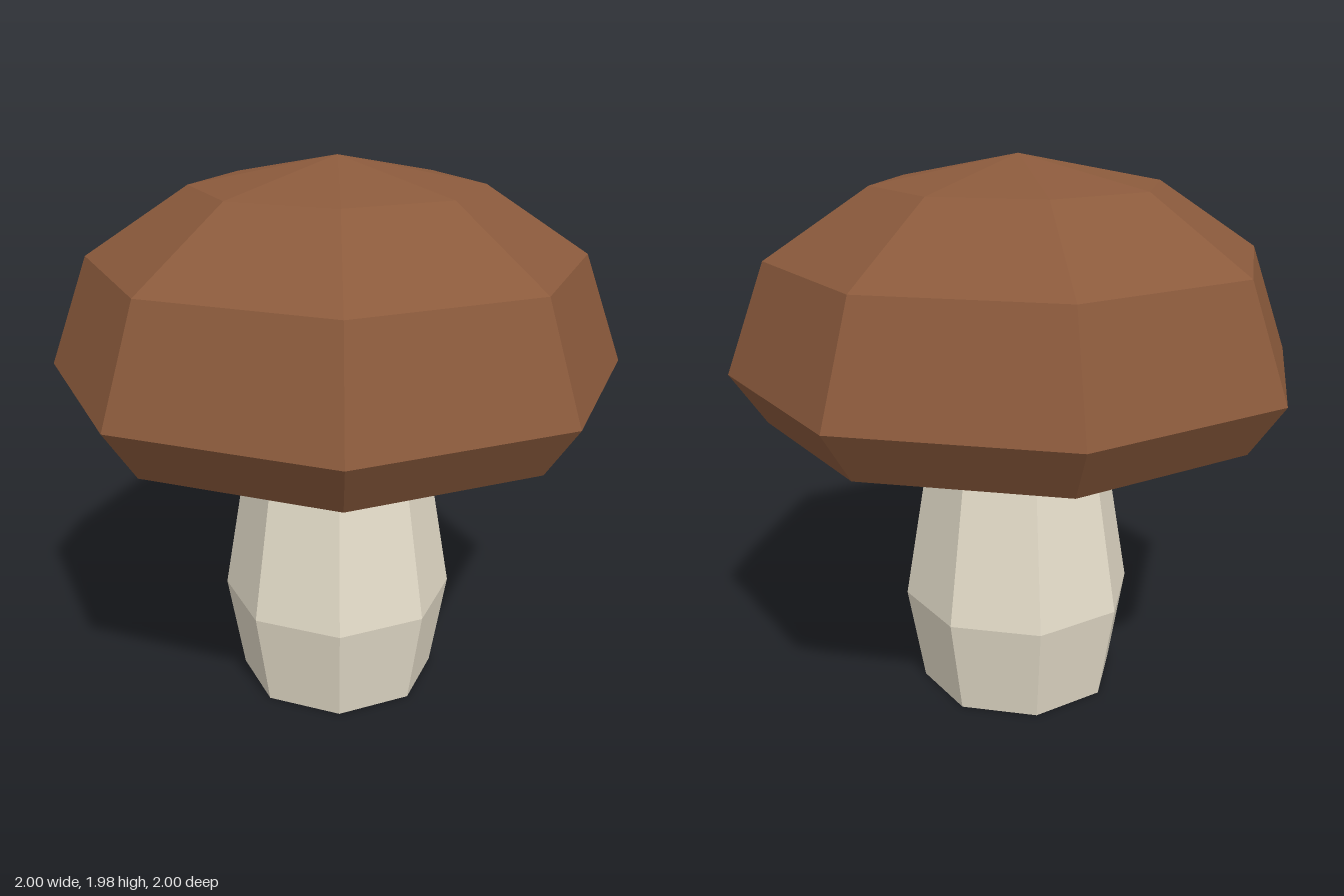
import * as THREE from 'three';

const SIDES = 8;
const TURN = Math.PI / 16; // twist of the octagon about the vertical axis

// Faceted solid of revolution from [radius, height] pairs
function faceted(name, profile, material) {
  const points = profile.map(([r, y]) => new THREE.Vector2(r, y));
  const geometry = new THREE.LatheGeometry(points, SIDES, TURN).toNonIndexed();
  geometry.computeVertexNormals();
  const mesh = new THREE.Mesh(geometry, material);
  mesh.name = name;
  return mesh;
}

export function createModel() {
  const capBrown = new THREE.MeshStandardMaterial({ color: 0x8b5a3c });
  capBrown.name = 'capBrown';
  const gillOlive = new THREE.MeshStandardMaterial({ color: 0xcebe7d });
  gillOlive.name = 'gillOlive';
  const stemCream = new THREE.MeshStandardMaterial({ color: 0xe4dcc9, side: THREE.DoubleSide });
  stemCream.name = 'stemCream';

  const model = new THREE.Group();
  model.name = 'mushroom';
  model.add(
    // Hollow stem, open at the base
    faceted('stem', [[0.367, 0], [0.428, 0.36], [0.308, 1.067]], stemCream),
    // Domed cap with an inward-sloping rim
    faceted('cap', [[0.897, 1.067], [1.0196, 1.248], [0.877, 1.637], [0.51, 1.88], [0, 1.98]], capBrown),
    // Flat underside of the cap
    faceted('capUnderside', [[0, 1.067], [0.897, 1.067]], gillOlive),
  );
  return model;
}
